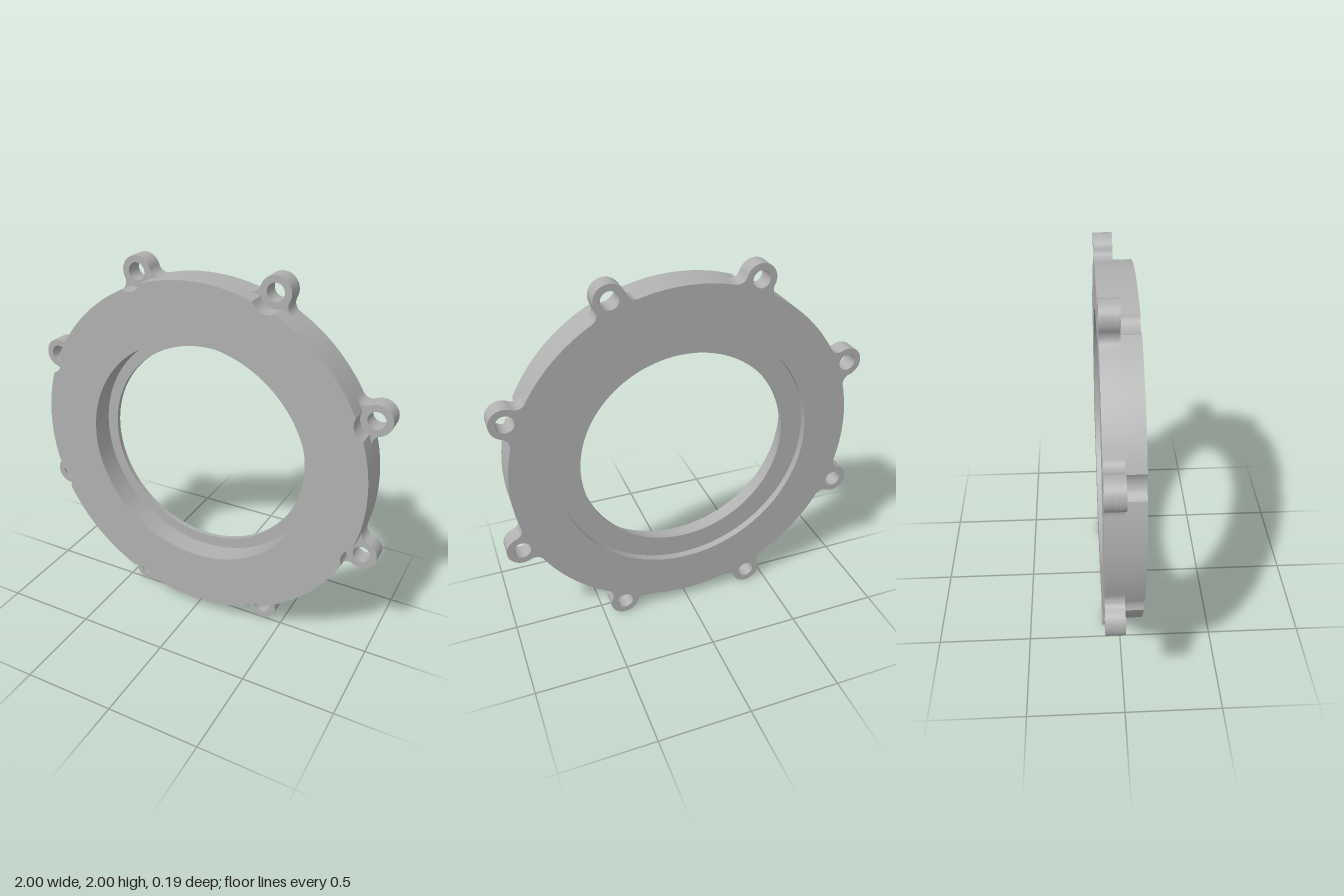
import * as THREE from 'three';
import { toCreasedNormals } from 'three/addons/utils/BufferGeometryUtils.js';

const RING = 0.942;     // outer radius of the ring
const LUG_DIST = 0.995; // bolt circle radius
const LUG = 0.081;      // lug outer radius
const BOLT = 0.046;     // bolt hole radius
const FILLET = 0.05;    // blend between lug and ring
const LUGS = 8;
const lugAngle = (i) => ((i + 0.5) * 2 * Math.PI) / LUGS;

// Points along an arc, without its end point
function arc(cx, cy, r, from, to, n) {
  return Array.from({ length: n }, (_, i) => {
    const t = from + ((to - from) * i) / n;
    return new THREE.Vector2(cx + r * Math.cos(t), cy + r * Math.sin(t));
  });
}

const circle = (x, y, r, n) => new THREE.Path(arc(x, y, r, 0, 2 * Math.PI, n));

// Repeats one pattern (drawn around the +x axis) for every lug, joined by ring arcs
function outline(pattern, halfAngle) {
  const origin = new THREE.Vector2();
  const points = [];
  for (let i = 0; i < LUGS; i++) {
    const a = lugAngle(i);
    points.push(...pattern.map((p) => p.clone().rotateAround(origin, a)));
    points.push(...arc(0, 0, RING, a + halfAngle, lugAngle(i + 1) - halfAngle, 16));
  }
  return points;
}

// Outline with filleted lugs
function lugOutline() {
  const R = RING + FILLET, r = LUG + FILLET;
  const half = Math.acos((R * R + LUG_DIST ** 2 - r * r) / (2 * R * LUG_DIST));
  const fx = R * Math.cos(half), fy = R * Math.sin(half);
  const phi = Math.atan2(-fy, fx - LUG_DIST);
  return outline([
    ...arc(fx, -fy, FILLET, Math.PI - half, phi + Math.PI, 8),
    ...arc(LUG_DIST, 0, LUG, phi, -phi, 20),
    ...arc(fx, fy, FILLET, -phi - Math.PI, half - Math.PI, 8),
  ], half);
}

// Outline with a round relief in front of every lug
function notchOutline() {
  const half = Math.acos((RING ** 2 + LUG_DIST ** 2 - LUG ** 2) / (2 * RING * LUG_DIST));
  const phi = Math.atan2(-RING * Math.sin(half), RING * Math.cos(half) - LUG_DIST);
  return outline(arc(LUG_DIST, 0, LUG, phi + 2 * Math.PI, -phi, 12), half);
}

export function createModel() {
  const group = new THREE.Group();
  group.name = 'flangeRing';
  const grey = new THREE.MeshStandardMaterial({ color: 0xb0b0b0 });
  grey.name = 'grey';

  function layer(name, points, bore, z0, z1, bolts) {
    const shape = new THREE.Shape(points);
    shape.holes.push(circle(0, 0, bore, 128));
    if (bolts) {
      for (let i = 0; i < LUGS; i++) {
        const a = lugAngle(i);
        shape.holes.push(circle(LUG_DIST * Math.cos(a), LUG_DIST * Math.sin(a), BOLT, 28));
      }
    }
    const geometry = new THREE.ExtrudeGeometry(shape, { depth: z1 - z0, bevelEnabled: false });
    const mesh = new THREE.Mesh(toCreasedNormals(geometry, 0.5), grey);
    mesh.name = name;
    mesh.position.set(0, 1, z0);
    group.add(mesh);
  }

  // Lugged back half: recess, thin inner lip, start of the front bore
  const lugged = lugOutline();
  layer('backRecessRing', lugged, 0.695, -0.095, -0.055, true);
  layer('innerLipRing', lugged, 0.57, -0.055, -0.03, true);
  layer('middleRing', lugged, 0.632, -0.03, 0, true);
  // Notched front half
  layer('frontRing', notchOutline(), 0.632, 0, 0.095, false);

  return group;
}
